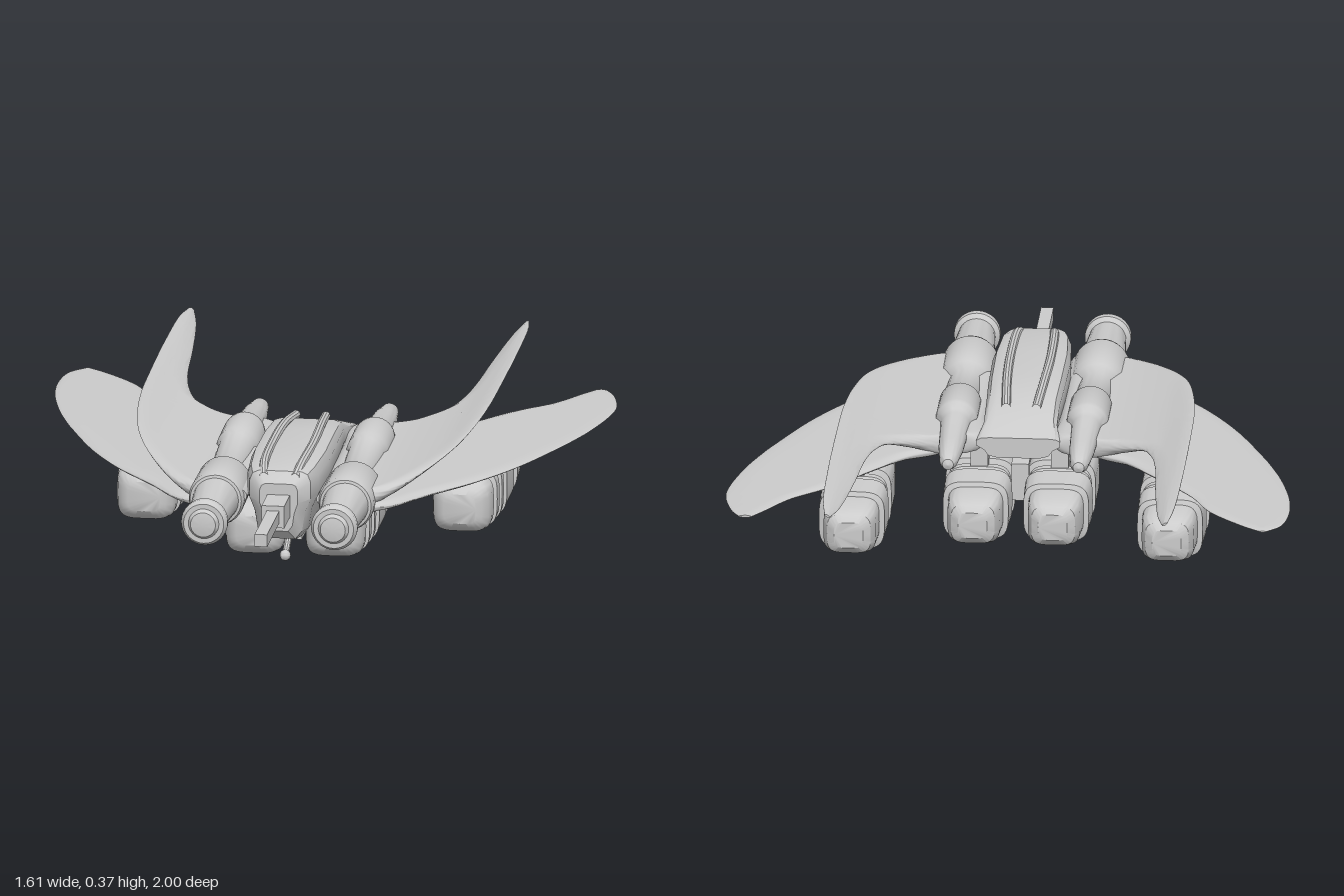
import * as THREE from 'three';
import { toCreasedNormals } from 'three/addons/utils/BufferGeometryUtils.js';

const grey = new THREE.MeshStandardMaterial({ color: 0xcccccc });

function add(parent, name, geometry, crease = 0.6) {
  const mesh = new THREE.Mesh(toCreasedNormals(geometry, crease), grey);
  mesh.name = name;
  parent.add(mesh);
  return mesh;
}

function box(parent, name, w, h, d, x, y, z) {
  add(parent, name, new THREE.BoxGeometry(w, h, d)).position.set(x, y, z);
}

// Closed skin over rings of points, counter-clockwise from the front, ordered tail to nose
function loft(rings) {
  const n = rings[0].length, index = [];
  const last = (rings.length - 1) * n;
  for (let r = 0; r < rings.length - 1; r++) {
    for (let i = 0; i < n; i++) {
      const a = r * n + i, b = r * n + (i + 1) % n;
      index.push(a, b, b + n, a, b + n, a + n);
    }
  }
  for (let i = 1; i < n - 1; i++) {
    index.push(0, i + 1, i, last, last + i, last + i + 1);
  }
  const geo = new THREE.BufferGeometry();
  geo.setAttribute('position', new THREE.Float32BufferAttribute(rings.flat(2), 3));
  geo.setIndex(index);
  geo.computeVertexNormals();
  return geo;
}

// Thin wing from stations [inner x, outer x, z]; midY and half give height and half thickness at x
function wing(stations, side, midY, half) {
  const curve = new THREE.CatmullRomCurve3(stations.map(s => new THREE.Vector3(...s)));
  const N = 20;
  const rings = curve.getPoints(70).map(({ x: inner, y: outer, z }) => {
    const ring = [];
    for (let k = 0; k < 2 * N; k++) {
      const top = k >= N;
      const u = (1 - Math.cos(Math.PI * k / N)) / 2;
      const x = inner + (outer - inner) * u;
      const edge = Math.max(0, Math.min(x - inner, outer - x));
      const h = half(x) * Math.min(1, Math.sqrt(edge / 0.03));
      ring.push([side * x, midY(x) + (top ? h : -h), z]);
    }
    return side < 0 ? ring.reverse() : ring;
  });
  return loft(rings);
}

// Rounded-square engine pod, [distance from tail, half size]
const podProfile = [
  [0, .04], [.015, .06], [.05, .072], [.125, .076], [.13, .09], [.23, .094], [.235, .078],
  [.26, .078], [.265, .088], [.29, .088], [.295, .08], [.31, .08], [.315, .096], [.46, .096],
  [.465, .08], [.49, .08], [.495, .092], [.53, .092], [.535, .08], [.55, .08], [.555, .088],
  [.6, .088], [.605, .075], [.62, .075], [.625, .082], [.66, .082], [.69, .076], [.71, .06], [.72, .045],
];
function podGeometry() {
  const round = v => Math.sign(v) * Math.sqrt(Math.abs(v));
  return loft(podProfile.map(([z, r]) => Array.from({ length: 40 }, (_, i) => {
    const a = i / 40 * Math.PI * 2;
    return [round(Math.cos(a)) * r * 1.04, round(Math.sin(a)) * r * 0.96, z];
  })));
}

// Turned nacelle, [radius, z], with the aft half raised above the wing
const nacelleProfile = [
  [0, -.335], [.016, -.328], [.026, -.3], [.036, -.2], [.042, -.04], [.046, -.02], [.058, 0],
  [.06, .02], [.06, .16], [.052, .18], [.052, .36], [.068, .4], [.078, .42], [.08, .58],
  [.074, .6], [.066, .602], [.053, .8], [.066, .81], [.067, .83], [.058, .845], [.044, .845],
  [.036, .858], [0, .865],
];
function nacelleGeometry() {
  const geo = new THREE.LatheGeometry(nacelleProfile.map(p => new THREE.Vector2(...p)), 32);
  geo.rotateX(Math.PI / 2);
  const p = geo.attributes.position;
  for (let i = 0; i < p.count; i++) {
    const z = p.getZ(i);
    const lift = 0.032 * (1 - THREE.MathUtils.smoothstep(z, 0.1, 0.45));
    const drop = 0.015 * THREE.MathUtils.clamp(-z / 0.33, 0, 1);
    p.setY(i, p.getY(i) + lift - drop);
  }
  return geo;
}

// Hull stations: z, half width, top, bottom
const hullStations = [
  [-.135, .12, .285, .225], [-.05, .105, .315, .2], [.05, .105, .345, .175], [.2, .11, .357, .155],
  [.4, .112, .36, .142], [.55, .102, .358, .14], [.61, .088, .35, .15], [.64, .055, .32, .18],
];
const hullSection = [[.5, 0], [.72, .12], [.82, .4], [1, .6], [1, .85], [.9, .96], [.7, 1]];

export function createModel() {
  const model = new THREE.Group();
  model.name = 'spaceFighter';

  // Hull
  add(model, 'hull', loft(hullStations.map(([z, w, top, bottom]) => {
    const half = hullSection.map(([x, y]) => [x * w, bottom + y * (top - bottom), z]);
    return [...half, ...half.map(([x, y]) => [-x, y, z]).reverse()];
  })));

  // Nose cannon
  box(model, 'cannonMount', .065, .065, .16, 0, .255, .675);
  box(model, 'cannonBarrel', .036, .036, .26, 0, .255, .87);

  // Belly keel and small chin gun
  box(model, 'bellyKeel', .05, .11, .4, 0, .125, .14);
  const gunPath = new THREE.CatmullRomCurve3([[.13, .34], [.11, .42], [.072, .5]]
    .map(([y, z]) => new THREE.Vector3(0, y, z)));
  add(model, 'chinGun', new THREE.TubeGeometry(gunPath, 12, .01, 10));
  add(model, 'chinGunMuzzle', new THREE.SphereGeometry(.016, 12, 10)).position.set(0, .07, .505);
  add(model, 'chinGunJoint', new THREE.SphereGeometry(.02, 12, 10)).position.set(0, .113, .41);

  for (const side of [1, -1]) {
    const label = side > 0 ? 'left' : 'right';

    // Raised rails along the spine
    const rail = new THREE.CatmullRomCurve3([
      [.045, .335, .62], [.053, .355, .56], [.058, .358, .35], [.053, .356, .15], [.043, .335, -.02],
    ].map(([x, y, z]) => new THREE.Vector3(side * x, y, z)));
    add(model, label + 'SpineRail', new THREE.TubeGeometry(rail, 40, .013, 10));

    // Nacelle
    add(model, label + 'Nacelle', nacelleGeometry()).position.set(side * .187, .253, 0);

    // Broad lower wing, each tip cut a little differently
    const tip = side > 0
      ? [[.72, .757, -.715], [.69, .78, -.67], [.62, .805, -.56]]
      : [[.735, .752, -.735], [.68, .79, -.69], [.58, .808, -.58]];
    add(model, label + 'LowerWing', wing([
      ...tip, [.52, .80, -.46], [.4, .765, -.3], [.31, .73, -.19], [.2, .70, -.11],
      [.15, .61, .1], [.15, .51, .27], [.15, .395, .42], [.15, .31, .54], [.15, .24, .58],
    ], side, () => .238, x => Math.max(.004, .019 - .019 * x)), 1);

    // Swept upper blade
    add(model, label + 'UpperBlade', wing([
      [.475, .49, -1], [.455, .502, -.9], [.43, .507, -.65], [.415, .507, -.45], [.395, .506, -.33],
      [.36, .505, -.24], [.27, .504, -.165], [.18, .503, -.135], [.1, .502, -.11], [.1, .49, .05],
      [.1, .455, .25], [.1, .385, .42], [.1, .31, .53], [.1, .23, .58],
    ], side, x => .262 + .097 * Math.pow(Math.max(0, (x - .22) / .285), 1.4),
    x => THREE.MathUtils.clamp(.03 - (x - .2) * .1, .008, .03)), 1);

    // Engine pods with pylons
    for (const [name, x, y, z, top] of [['InnerPod', .115, .096, -.355, .25], ['OuterPod', .455, .128, -.55, .235]]) {
      add(model, label + name, podGeometry()).position.set(side * x, y, z);
      box(model, label + name + 'Pylon', .05, top - y, .3, side * x, (top + y) / 2, z + .42);
    }
  }
  return model;
}
